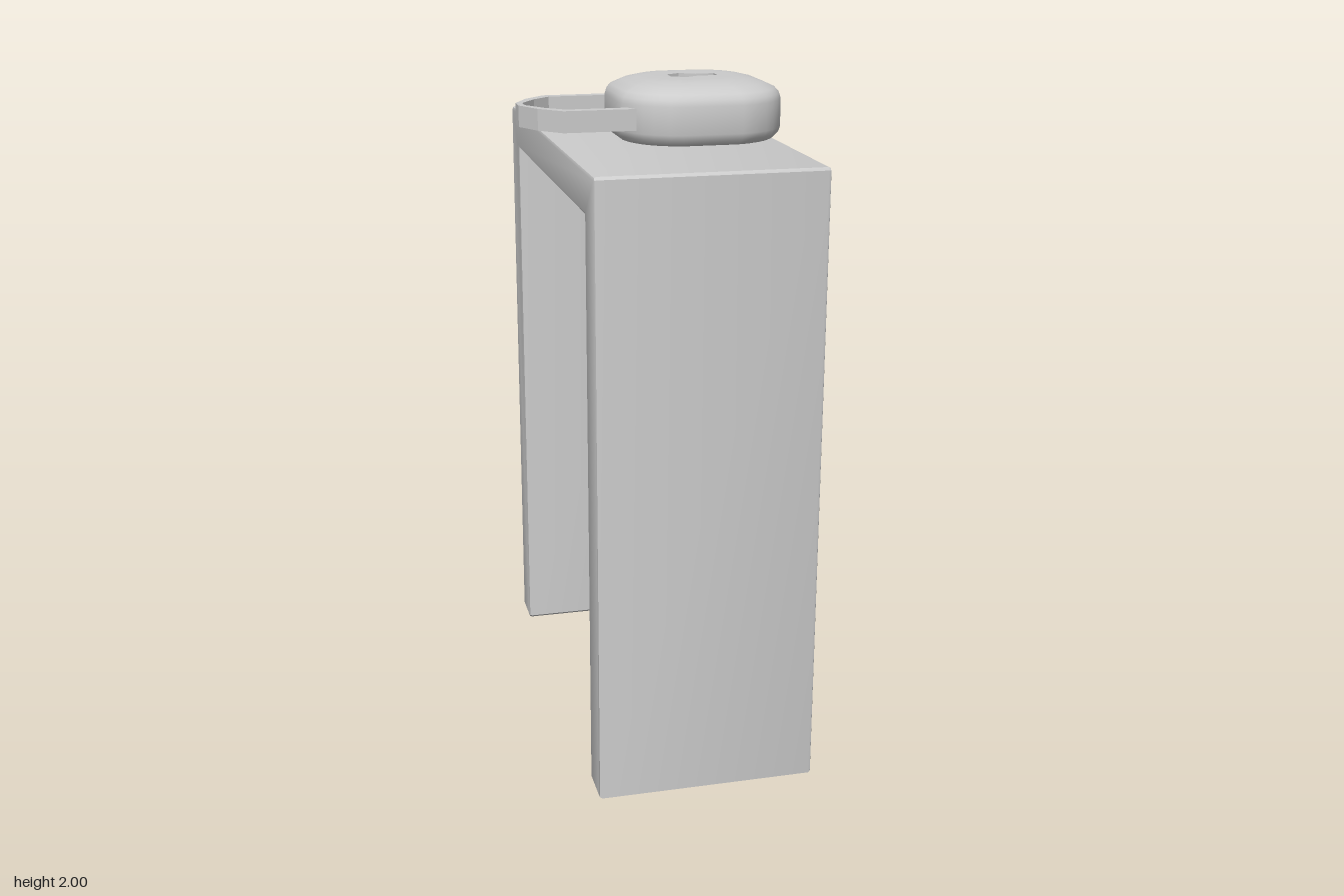
import * as THREE from 'three';
import { mergeGeometries, toCreasedNormals } from 'three/addons/utils/BufferGeometryUtils.js';
import { RoundedBoxGeometry } from 'three/addons/geometries/RoundedBoxGeometry.js';

const grey = new THREE.MeshStandardMaterial({ color: 0xcccccc });
const flatGrey = new THREE.MeshStandardMaterial({ color: 0xcccccc, flatShading: true });

function add(parent, name, geometry, x = 0, y = 0, z = 0, material = grey) {
  const mesh = new THREE.Mesh(geometry, material);
  mesh.name = name;
  mesh.position.set(x, y, z);
  parent.add(mesh);
}

const toShape = (pts) => new THREE.Shape(pts.map(([x, y]) => new THREE.Vector2(x, y)));

// Lift a flat outline drawn in (x, -z) to height y
const ring = (pts, y) => pts.map(([a, b]) => [a, y, -b]);

// Skin between stacked rings, counter-clockwise from above, going up
function loft(rings) {
  const pos = [];
  for (let i = 0; i < rings.length - 1; i++) {
    const lo = rings[i], hi = rings[i + 1], n = lo.length;
    for (let j = 0; j < n; j++) {
      const k = (j + 1) % n;
      pos.push(...lo[j], ...lo[k], ...hi[k], ...lo[j], ...hi[k], ...hi[j]);
    }
  }
  const g = new THREE.BufferGeometry();
  g.setAttribute('position', new THREE.Float32BufferAttribute(pos, 3));
  return g;
}

// Horizontal face, looking up (side = 1) or down (side = -1)
function cap(shape, y, side = 1) {
  const g = new THREE.ShapeGeometry(shape).toNonIndexed();
  g.deleteAttribute('uv');
  g.deleteAttribute('normal');
  return g.rotateX(-side * Math.PI / 2).translate(0, y, 0);
}

// Deep door frame: an upside-down U extruded along x with a small bevel
function frameGeometry() {
  const b = 0.01, c = 0.008, out = 0.679, inn = 0.555, top = 1.826;
  const half = [[inn, 1.703], [inn, c], [inn + c, 0], [out, 0], [out, top - c], [out - c, top]];
  const shape = toShape([...half, ...half.map(([z, y]) => [-z, y]).reverse()]);
  const g = new THREE.ExtrudeGeometry(shape, {
    depth: 0.649 - 2 * b, bevelThickness: b, bevelSize: b, bevelOffset: -b, bevelSegments: 2,
  });
  g.rotateY(-Math.PI / 2).translate(0.358 - b, 0, 0);
  return toCreasedNormals(g, 0.7);
}

// Door slab whose front rises gently from a wide sloped border
function doorGeometry() {
  const rect = (inset) => {
    const a = 0.845 - inset, b = 0.535 - inset;
    return [[-a, -b], [a, -b], [a, b], [-a, b]];
  };
  const profile = [[0.008, -0.01], [0, -0.002], [0, 0.075], [0.008, 0.082], [0.05, 0.106]];
  const g = mergeGeometries([
    loft(profile.map(([inset, h]) => ring(rect(inset), h))),
    cap(toShape(rect(0.05)), 0.106),
    cap(toShape(rect(0.008)), -0.01, -1),
  ]);
  return toCreasedNormals(g.rotateZ(-Math.PI / 2), 0.55);
}

// Pillow-like lock body, centred on its own middle, with a sunken keyhole
function lockBodyGeometry() {
  const half = 0.246;
  const quarter = [[1, 0.36], [0.965, 0.5], [0.87, 0.68], [0.785, 0.785], [0.68, 0.87], [0.5, 0.965], [0.36, 1]];
  const plan = [];
  for (let q = 0; q < 4; q++) {
    for (const [a, b] of quarter) plan.push([[a, b], [-b, a], [-a, -b], [b, -a]][q]);
  }
  const flat = (s) => plan.map(([a, b]) => [a * s * half, b * s * half]);
  const upper = [[1, 0.04], [0.98, 0.057], [0.93, 0.071], [0.8, 0.086], [0.64, 0.096], [0.48, 0.1]];
  const profile = [...upper.map(([s, y]) => [s, -y]).reverse(), ...upper];
  const key = [
    [-0.07, -0.025], [-0.028, -0.05], [0.016, -0.021], [0.073, -0.025],
    [0.073, 0.025], [0.016, 0.021], [-0.028, 0.05], [-0.07, 0.025],
  ];
  const top = toShape(flat(0.48));
  top.holes.push(toShape(key));
  return toCreasedNormals(mergeGeometries([
    loft(profile.map(([s, y]) => ring(flat(s), y))),
    cap(top, 0.1),
    cap(toShape(flat(0.48)), -0.1, -1),
    loft([ring(key, 0.1), ring(key, 0.05)]),
    cap(toShape(key), 0.05),
  ]), 0.75);
}

// Faceted flat band bent into a loop, thinnest at the tip
function shackleGeometry() {
  const outer = [[-0.05, 0.175], [-0.28, 0.173], [-0.343, 0.108], [-0.385, 0.027]];
  const inner = [[-0.05, 0.14], [-0.267, 0.14], [-0.32, 0.092], [-0.366, 0.022]];
  const loop = (half) => [...half, ...half.map(([x, y]) => [x, -y]).reverse()];
  const shape = toShape([...loop(outer), ...loop(inner).reverse()]);
  const g = new THREE.ExtrudeGeometry(shape, { depth: 0.062, bevelEnabled: false });
  return g.rotateX(-Math.PI / 2);
}

export function createModel() {
  const model = new THREE.Group();
  model.name = 'doorway';

  add(model, 'frame', frameGeometry());

  // Door with hinges and knob
  const door = new THREE.Group();
  door.name = 'door';
  model.add(door);
  add(door, 'doorPanel', doorGeometry(), 0, 0.853, -0.011);
  for (const y of [0.21, 0.835, 1.475]) {
    add(door, 'hinge', new RoundedBoxGeometry(0.095, 0.218, 0.044, 3, 0.014), 0.035, y, 0.541);
  }
  add(door, 'knobStem', new THREE.CylinderGeometry(0.042, 0.042, 0.08, 24).rotateZ(Math.PI / 2), 0.14, 0.786, -0.307);
  add(door, 'knob', new THREE.SphereGeometry(0.076, 32, 20), 0.188, 0.786, -0.307);

  // Padlock lying on top of the frame, slightly sunk into it
  const padlock = new THREE.Group();
  padlock.name = 'padlock';
  model.add(padlock);
  add(padlock, 'lockBody', lockBodyGeometry(), 0.139, 1.9, 0.038);
  add(padlock, 'shackle', shackleGeometry(), 0, 1.868, 0.038, flatGrey);

  return model;
}
